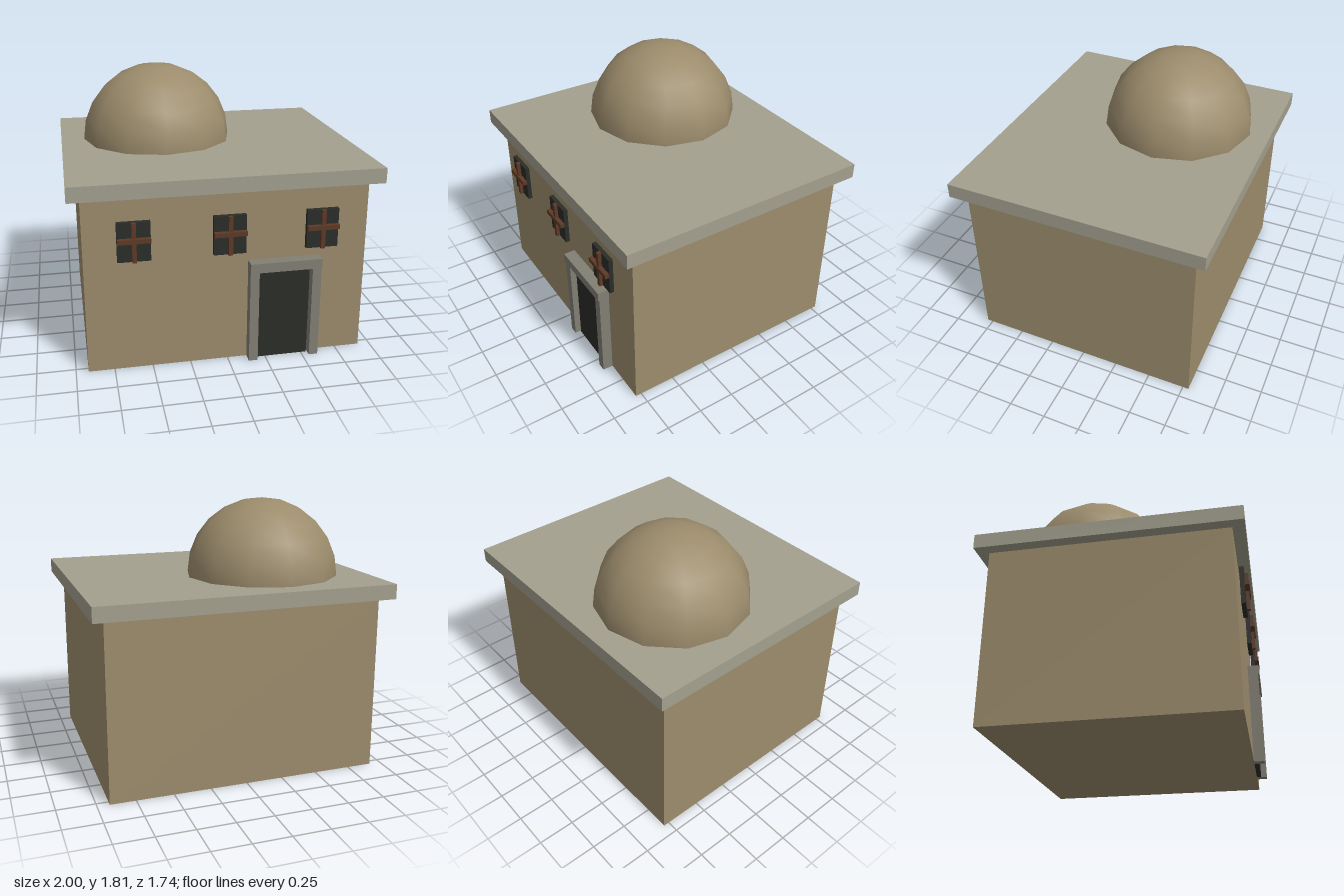
import * as THREE from 'three';

const mat = (color) => new THREE.MeshStandardMaterial({ color });

export function createModel() {
  const house = new THREE.Group();
  house.name = 'domedHouse';

  const plaster = mat(0x9c8c6c);
  const slab = mat(0xa3a08f);
  const stone = mat(0x827f74);
  const dark = mat(0x2b2d29);
  const wood = mat(0x5e3a26);

  // Box given by its minimum and maximum corners
  const box = (parent, name, material, [x0, y0, z0], [x1, y1, z1]) => {
    const mesh = new THREE.Mesh(new THREE.BoxGeometry(x1 - x0, y1 - y0, z1 - z0), material);
    mesh.position.set((x0 + x1) / 2, (y0 + y1) / 2, (z0 + z1) / 2);
    mesh.name = name;
    parent.add(mesh);
    return mesh;
  };

  // Main body and overhanging roof slab
  box(house, 'walls', plaster, [-0.92, 0, -0.79], [0.92, 1.19, 0.79]);
  box(house, 'roofSlab', slab, [-1, 1.19, -0.87], [1, 1.29, 0.87]);

  // Twelve-sided half dome, off-centre on the roof
  const dome = new THREE.Mesh(
    new THREE.SphereGeometry(0.525, 12, 6, 0, Math.PI * 2, 0, Math.PI / 2),
    plaster
  );
  dome.position.set(-0.315, 1.29, -0.21);
  dome.name = 'dome';
  house.add(dome);

  // Doorway: two posts, a slightly proud lintel and a recessed door
  const doorway = new THREE.Group();
  doorway.name = 'doorway';
  box(doorway, 'rightPost', stone, [0.13, 0, 0.79], [0.19, 0.64, 0.86]);
  box(doorway, 'leftPost', stone, [0.545, 0, 0.79], [0.605, 0.64, 0.86]);
  box(doorway, 'lintel', stone, [0.13, 0.635, 0.79], [0.605, 0.7, 0.868]);
  box(doorway, 'door', dark, [0.197, 0, 0.78], [0.537, 0.636, 0.82]);
  house.add(doorway);

  // Row of windows standing just proud of the front wall, each with crossed bars
  for (const x of [-0.605, 0, 0.605]) {
    const win = new THREE.Group();
    win.name = 'window';
    win.position.set(x, 0.9, 0);
    box(win, 'pane', dark, [-0.105, -0.13, 0.806], [0.105, 0.13, 0.835]);
    box(win, 'uprightBar', wood, [-0.014, -0.13, 0.83], [0.014, 0.13, 0.858]);
    box(win, 'crossBar', wood, [-0.105, -0.002, 0.833], [0.105, 0.028, 0.864]);
    house.add(win);
  }

  return house;
}
